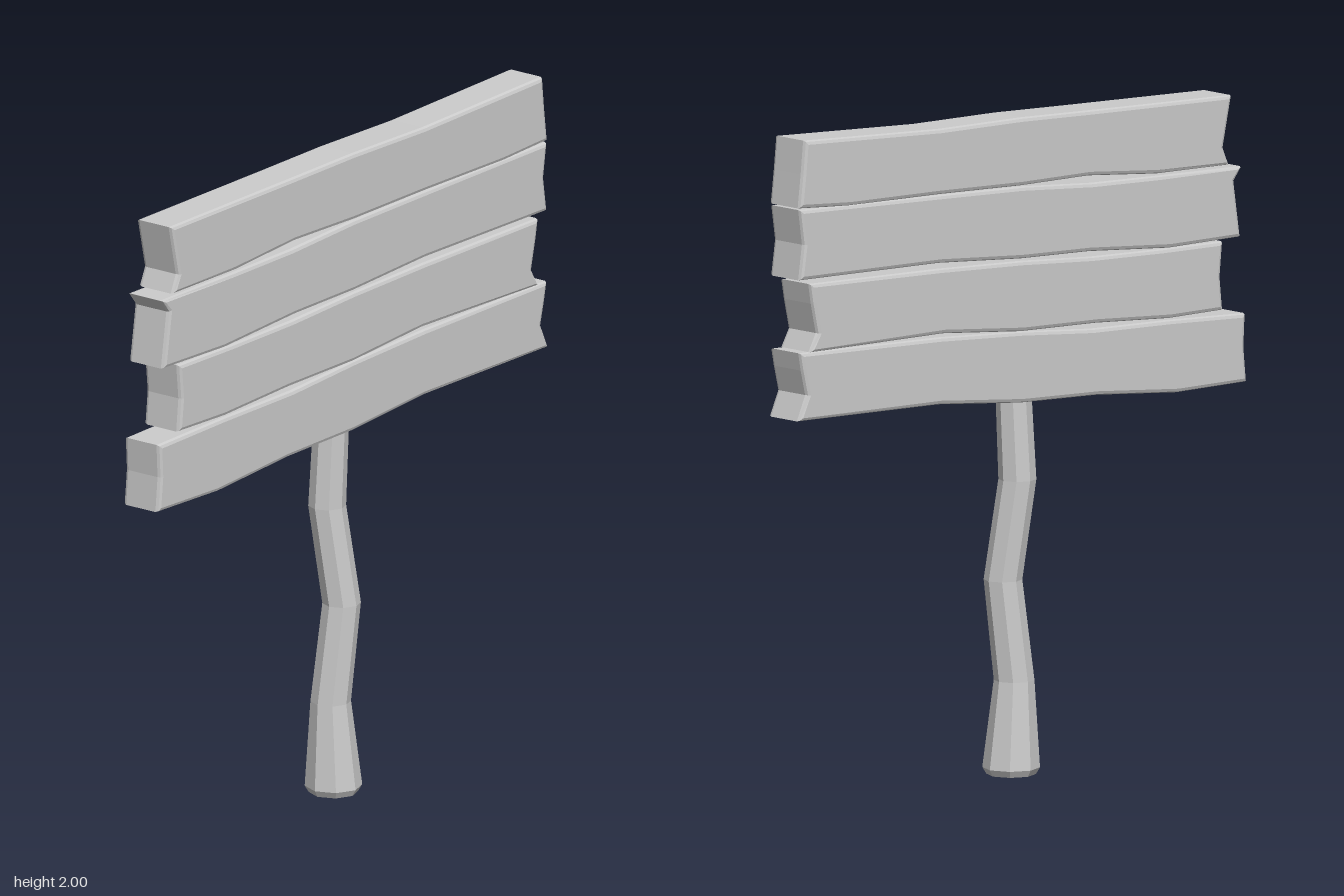
import * as THREE from 'three';

const material = new THREE.MeshStandardMaterial({ color: 0xcccccc, flatShading: true });

// Plank outlines as [z, y] pairs, running round the board
const PLANKS = [
  [[0.89, 1.28], [0.59, 1.295], [0.28, 1.305], [0, 1.33], [-0.325, 1.35], [-0.885, 1.368],
    [-0.875, 1.315], [-0.857, 1.24], [-0.89, 1.165], [-0.325, 1.15], [0, 1.117], [0.3, 1.105],
    [0.62, 1.075], [0.895, 1.075], [0.885, 1.18]],
  [[0.8, 1.505], [0.56, 1.51], [0.28, 1.52], [0, 1.54], [-0.325, 1.555], [-0.845, 1.57],
    [-0.835, 1.51], [-0.815, 1.42], [-0.845, 1.365], [-0.31, 1.36], [0, 1.33], [0.3, 1.32],
    [0.59, 1.3], [0.8, 1.3], [0.79, 1.4]],
  [[0.875, 1.72], [0.55, 1.73], [0.28, 1.74], [0, 1.762], [-0.325, 1.775], [-0.885, 1.795],
    [-0.87, 1.69], [-0.885, 1.585], [-0.325, 1.572], [0, 1.547], [0.27, 1.537],
    [0.59, 1.51], [0.87, 1.51], [0.845, 1.68]],
  [[0.835, 1.937], [0.28, 1.957], [0, 1.968], [-0.325, 1.972], [-0.865, 2],
    [-0.875, 1.9], [-0.887, 1.8], [-0.685, 1.785], [-0.325, 1.777], [0, 1.765], [0.27, 1.763],
    [0.54, 1.737], [0.825, 1.73], [0.802, 1.785]],
];

// Bevelled board cut from an outline, thickness along x
function plank(points) {
  const bevel = 0.012, thickness = 0.136;
  const shape = new THREE.Shape(points.map(([z, y]) => new THREE.Vector2(z, y)));
  const geometry = new THREE.ExtrudeGeometry(shape, {
    depth: thickness - 2 * bevel, bevelEnabled: true, bevelSegments: 2,
    bevelThickness: bevel, bevelSize: bevel, bevelOffset: -bevel,
  });
  geometry.translate(0, 0, bevel - thickness / 2);
  geometry.rotateY(-Math.PI / 2);
  geometry.translate(-0.003, 0, 0);
  return new THREE.Mesh(geometry, material);
}

// Crooked eight-sided post: rings of [centre x, y, centre z, radius]
const RINGS = [
  [0, 0, 0.018, 0.073], [0, 0.02, 0.018, 0.085], [-0.003, 0.28, 0.027, 0.06],
  [0.017, 0.58, 0.001, 0.057], [-0.014, 0.88, 0.03, 0.056], [-0.005, 1.15, 0.022, 0.053],
];

function post() {
  const geometry = new THREE.CylinderGeometry(1, 1, 1, 8, RINGS.length - 1);
  const p = geometry.attributes.position;
  for (let i = 0; i < p.count; i++) {
    const level = Math.round((p.getY(i) + 0.5) * (RINGS.length - 1));
    const [x, y, z, r] = RINGS[level];
    p.setXYZ(i, x + p.getX(i) * r, y, z + p.getZ(i) * r);
  }
  geometry.computeVertexNormals();
  return new THREE.Mesh(geometry, material);
}

export function createModel() {
  const model = new THREE.Group();
  model.name = 'woodenSign';

  const stake = post();
  stake.name = 'post';
  model.add(stake);

  // Four ragged boards stacked from the bottom up
  const board = new THREE.Group();
  board.name = 'signBoard';
  PLANKS.forEach((points, i) => {
    const mesh = plank(points);
    mesh.name = `plank${i + 1}`;
    board.add(mesh);
  });
  model.add(board);
  return model;
}
